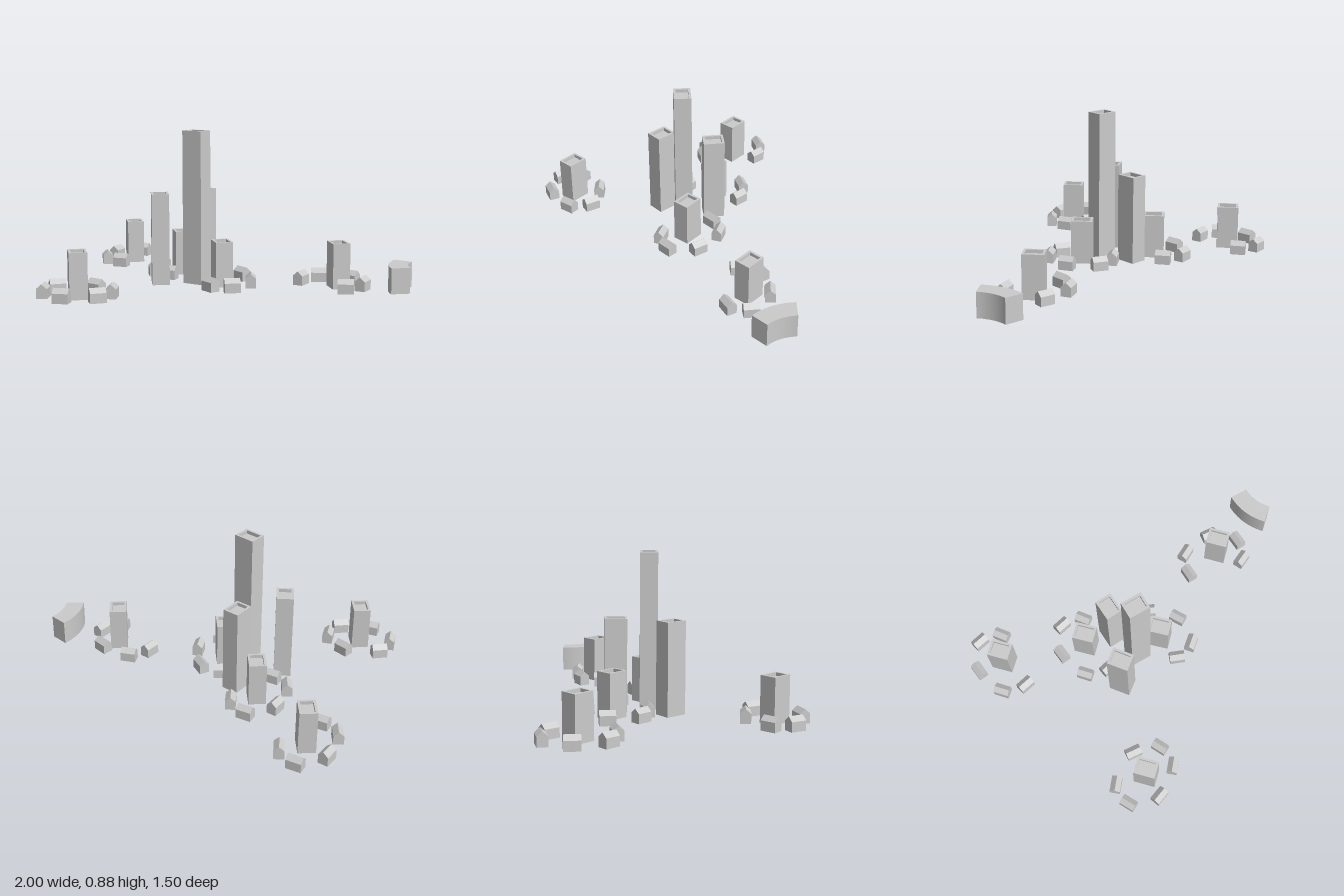
import * as THREE from 'three';

const material = new THREE.MeshStandardMaterial({ color: 0xcccccc, flatShading: true });
const TOWER_L = 0.125, TOWER_W = 0.1, RIM = 0.014, RECESS = 0.02;

function addMesh(parent, geometry, name) {
  const mesh = new THREE.Mesh(geometry, material);
  mesh.name = name;
  parent.add(mesh);
  return mesh;
}

function rectangle(PathType, l, w) {
  return new PathType([[-l, -w], [l, -w], [l, w], [-l, w]].map(([x, y]) => new THREE.Vector2(x / 2, y / 2)));
}

// Places a part on the ground, its long axis turned from +x towards +z
function place(object, x, z, degrees) {
  object.position.set(x, 0, z);
  object.rotation.y = -THREE.MathUtils.degToRad(degrees);
}

// Tower block: solid shaft with a raised parapet around a sunken roof
const rimShape = rectangle(THREE.Shape, TOWER_L, TOWER_W);
rimShape.holes.push(rectangle(THREE.Path, TOWER_L - 2 * RIM, TOWER_W - 2 * RIM));
const rimGeometry = new THREE.ExtrudeGeometry(rimShape, { depth: RECESS, bevelEnabled: false }).rotateX(-Math.PI / 2);

function makeTower(x, z, height, degrees) {
  const tower = new THREE.Group();
  tower.name = 'tower';
  const shaft = new THREE.BoxGeometry(TOWER_L, height - RECESS, TOWER_W);
  addMesh(tower, shaft.translate(0, (height - RECESS) / 2, 0), 'towerShaft');
  addMesh(tower, rimGeometry, 'towerParapet').position.y = height - RECESS;
  place(tower, x, z, degrees);
  return tower;
}

// Small house: gabled section extruded along the ridge
const gable = new THREE.Shape(
  [[-0.03, 0], [0.03, 0], [0.03, 0.055], [0, 0.081], [-0.03, 0.055]].map(([x, y]) => new THREE.Vector2(x, y)));
const houseGeometry = new THREE.ExtrudeGeometry(gable, { depth: 0.09, bevelEnabled: false })
  .translate(0, 0, -0.045).rotateY(Math.PI / 2);

// House layouts around a tower: x offset, z offset, ridge angle
const ringOfFive = [[-0.005, -0.193, 7], [0.11, -0.12, 73], [-0.142, -0.074, 104], [-0.145, 0.117, 68], [-0.03, 0.197, 7]];
const ringOfSix = [[-0.155, -0.1, -30], [0.055, -0.145, 25], [0.18, -0.045, 83], [0.14, 0.085, -30],
  [-0.045, 0.135, 0], [-0.19, 0.025, 82]];
const innerRing = [[-0.05, -0.18, -20], [0.085, -0.165, 42], [0.17, 0.005, 80], [0.095, 0.17, -20], [-0.03, 0.16, 42]];
const eastRing = [[-0.13, -0.14, -8], [0.06, -0.105, 25], [0.145, 0.055, 107], [0.06, 0.155, -5], [-0.22, -0.04, 108]];

const neighbourhoods = [
  { x: -0.78, z: -0.525, turn: 66, houses: ringOfFive },
  { x: -0.385, z: -0.21, turn: 65, houses: ringOfFive },
  { x: -0.77, z: 0.58, turn: 66, houses: ringOfSix },
  { x: -0.07, z: 0.105, turn: 64, houses: innerRing },
  { x: 0.59, z: 0.02, turn: 66, houses: eastRing },
];

// Curved hall: an arc-shaped slab
function makeCurvedHall() {
  const half = THREE.MathUtils.degToRad(22);
  const plan = new THREE.Shape();
  plan.absarc(0, 0, 0.352, Math.PI - half, Math.PI + half, false);
  plan.absarc(0, 0, 0.243, Math.PI + half, Math.PI - half, true);
  return new THREE.ExtrudeGeometry(plan, { depth: 0.146, bevelEnabled: false, curveSegments: 10 })
    .rotateX(-Math.PI / 2).translate(1.226, 0, 0.022);
}

export function createModel() {
  const city = new THREE.Group();
  city.name = 'city';

  for (const { x, z, turn, houses } of neighbourhoods) {
    const group = new THREE.Group();
    group.name = 'neighbourhood';
    group.position.set(x, 0, z);
    group.add(makeTower(0, 0, 0.26, turn));
    for (const [hx, hz, angle] of houses) place(addMesh(group, houseGeometry, 'house'), hx, hz, angle);
    city.add(group);
  }

  // High-rises of the centre
  city.add(makeTower(-0.228, 0.062, 0.885, 20));
  city.add(makeTower(-0.235, -0.137, 0.525, 107));
  city.add(makeTower(-0.432, 0.115, 0.525, 72));

  addMesh(city, makeCurvedHall(), 'curvedHall');
  return city;
}
